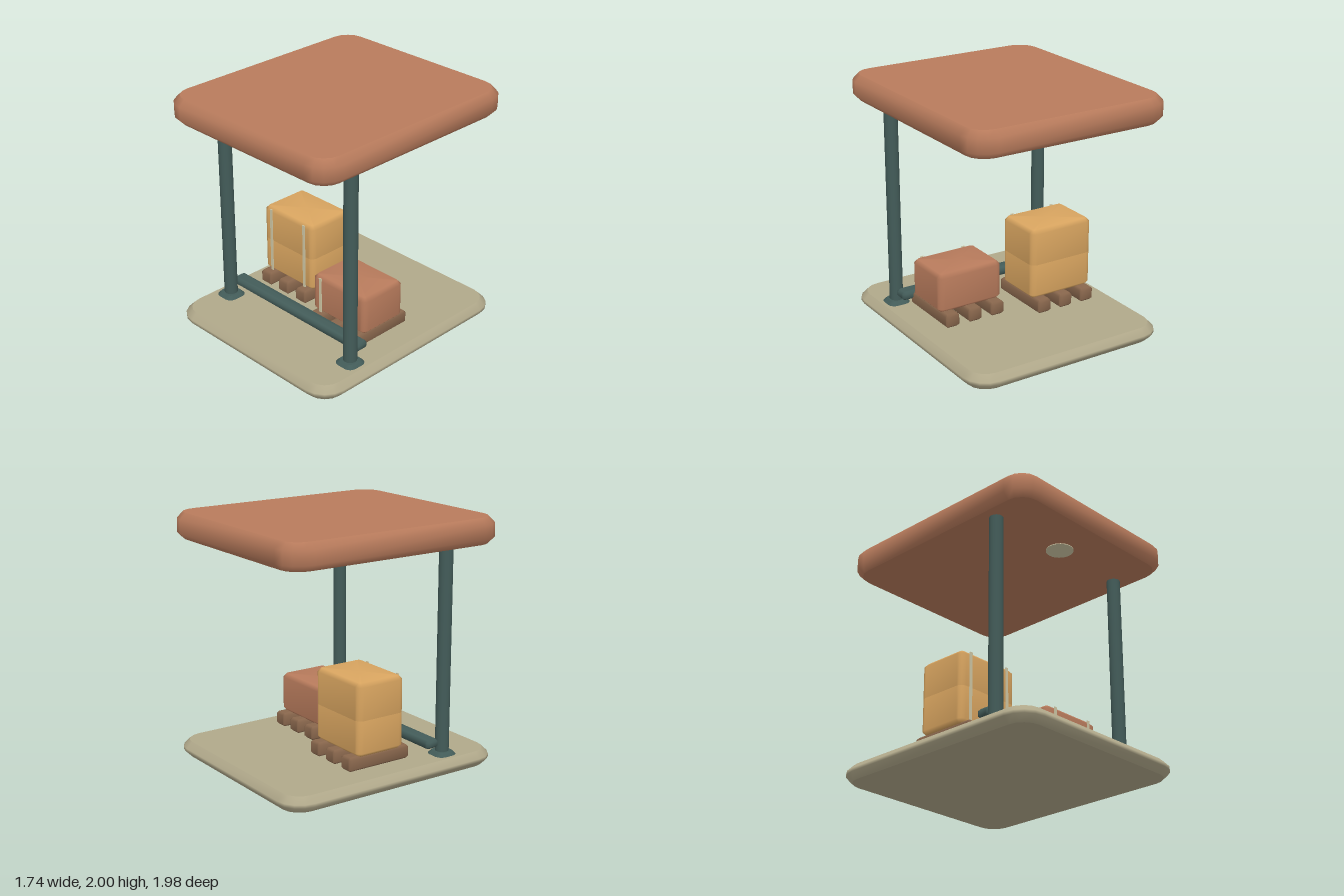
import * as THREE from 'three';

const mat = (name, color) => {
  const m = new THREE.MeshStandardMaterial({ color });
  m.name = name;
  return m;
};

// Slab with rounded corners and chamfered rims, from y0 to y1.
// The caps share the rim normals when softCaps is true.
function slabGeometry(w, d, y0, y1, radius, bevel, softCaps = false) {
  const pos = [], index = [], seg = 4, n = 4 * (seg + 1);
  const ring = (inset, y) => {
    const start = pos.length / 3, r = Math.max(radius - inset, 0.005);
    for (let q = 0; q < 4; q++) {
      const sx = q === 0 || q === 3 ? 1 : -1, sz = q < 2 ? 1 : -1;
      for (let k = 0; k <= seg; k++) {
        const a = (q + k / seg) * Math.PI / 2;
        pos.push(sx * (w / 2 - inset - r) + r * Math.cos(a), y, sz * (d / 2 - inset - r) + r * Math.sin(a));
      }
    }
    return start;
  };
  const rings = [[bevel, y0], [0, y0 + bevel], [0, y1 - bevel], [bevel, y1]].map(p => ring(...p));
  for (let j = 0; j < 3; j++) {
    for (let i = 0; i < n; i++) {
      const k = (i + 1) % n, a = rings[j] + i, b = rings[j] + k, c = rings[j + 1] + i, e = rings[j + 1] + k;
      index.push(a, c, b, b, c, e);
    }
  }
  for (const top of [false, true]) {
    const y = top ? y1 : y0;
    const s = softCaps ? rings[top ? 3 : 0] : ring(bevel, y);
    const centre = pos.length / 3;
    pos.push(0, y, 0);
    for (let i = 0; i < n; i++) {
      const k = (i + 1) % n;
      if (top) index.push(centre, s + k, s + i);
      else index.push(centre, s + i, s + k);
    }
  }
  const g = new THREE.BufferGeometry();
  g.setAttribute('position', new THREE.Float32BufferAttribute(pos, 3));
  g.setIndex(index);
  g.computeVertexNormals();
  return g;
}

export function createModel() {
  const group = new THREE.Group();
  group.name = 'cargoShelter';
  const clay = mat('clay', 0xb87b5c);
  const stone = mat('stone', 0xb0a88a);
  const steel = mat('steel', 0x435c59);
  const tan = mat('tan', 0xd9a560);
  const wood = mat('wood', 0x88664c);
  const cream = mat('cream', 0xd0c8a6);

  const add = (name, geometry, material, x = 0, y = 0, z = 0, parent = group) => {
    const m = new THREE.Mesh(geometry, material);
    m.name = name;
    m.position.set(x, y, z);
    parent.add(m);
    return m;
  };

  // Floor and roof
  add('floor', slabGeometry(1.74, 1.975, 0, 0.127, 0.2, 0.05), stone);
  add('roof', slabGeometry(1.74, 1.97, 1.79, 2, 0.2, 0.05), clay);
  add('ceilingLamp', new THREE.CylinderGeometry(0.11, 0.11, 0.008, 24), cream, 0, 1.788, 0.57);

  // Posts with flanged feet
  for (const [side, s] of [['left', 1], ['right', -1]]) {
    add(side + 'Post', new THREE.CylinderGeometry(0.055, 0.055, 1.72, 16), steel, s * 0.695, 0.96, 0.545);
    add(side + 'Foot', slabGeometry(0.19, 0.19, 0.095, 0.155, 0.06, 0.028), steel, s * 0.695, 0, 0.545);
  }

  // Low rail joining the posts
  add('rail', slabGeometry(1.44, 0.12, 0.192, 0.262, 0.03, 0.018, true), steel, 0, 0, 0.437);

  // Strapped crates on pallet runners
  const cargo = (name, x, z, layers, material) => {
    const g = new THREE.Group();
    g.name = name;
    g.position.set(x, 0, z);
    group.add(g);
    for (const i of [-1, 0, 1]) {
      add('palletRunner', slabGeometry(0.122, 0.57, 0.14, 0.252, 0.02, 0.018, true), wood, i * 0.206, 0, 0, g);
    }
    for (let i = 0; i < layers; i++) {
      add('crate', slabGeometry(0.575, 0.435, 0.245 + i * 0.262, 0.568 + i * 0.262, 0.05, 0.03, true), material, 0, 0, 0, g);
    }
    const top = 0.562 + (layers - 1) * 0.262;
    for (const s of [-1, 1]) {
      add('strap', new THREE.BoxGeometry(0.025, top - 0.255, 0.009), cream, s * 0.193, (top + 0.255) / 2, 0.2205, g);
    }
  };
  cargo('tallCargo', -0.39, -0.04, 2, tan);
  cargo('shortCargo', 0.362, 0.13, 1, clay);

  return group;
}
